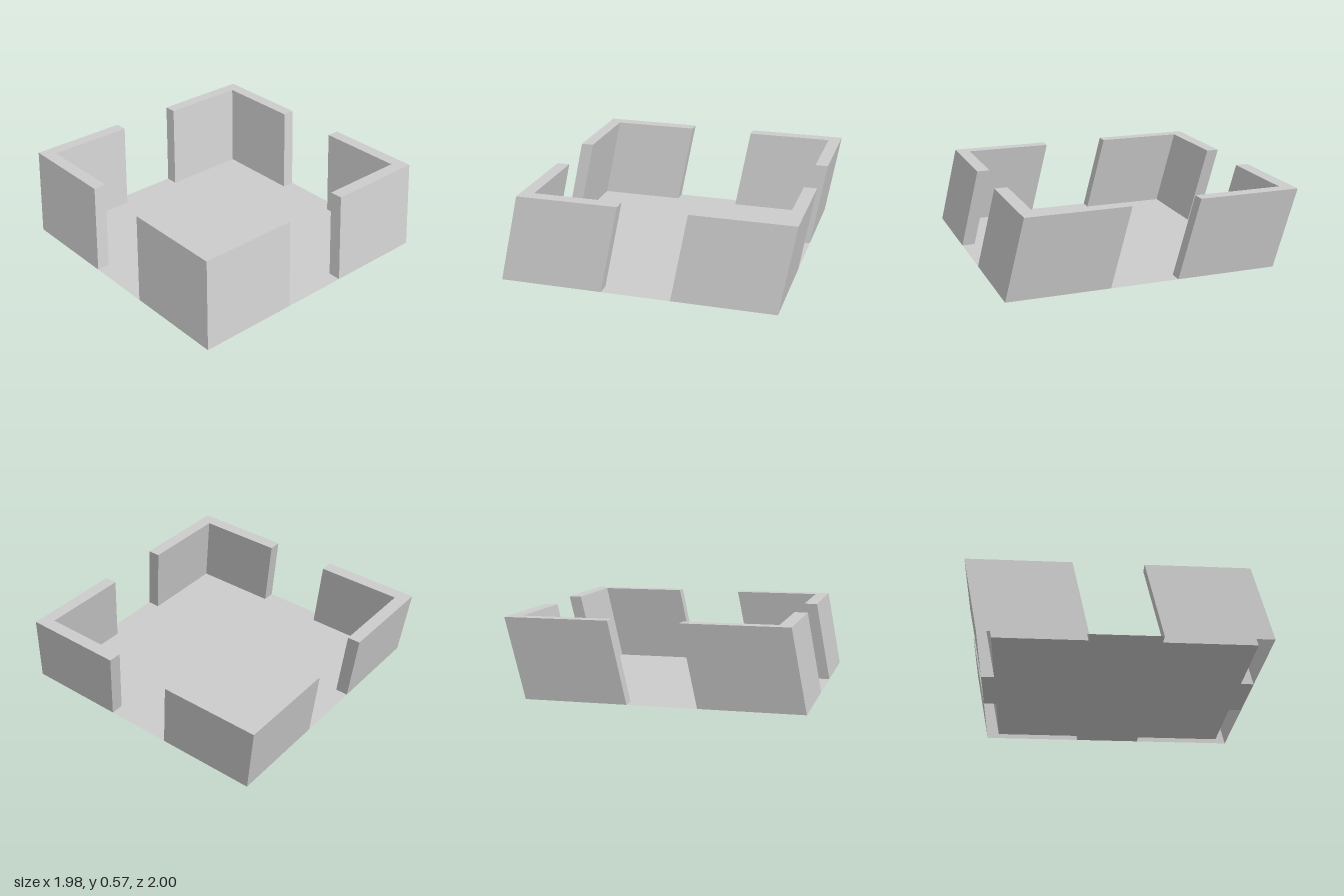
import * as THREE from 'three';

const EDGE = 0.945, GAP = 0.238, INNER = EDGE - 0.09, HEIGHT = 0.567;

// Everything leans: upper points slide towards +x and -z
function lean(geometry) {
  const p = geometry.attributes.position;
  for (let i = 0; i < p.count; i++) {
    const t = p.getY(i) / HEIGHT - 0.5;
    p.setX(i, p.getX(i) + 0.088 * t);
    p.setZ(i, p.getZ(i) - 0.11 * t);
  }
  geometry.computeVertexNormals();
  return geometry;
}

// Removes the bottom cap so the walls are hollow-ended underneath
function openBottom(geometry) {
  const p = geometry.attributes.position, kept = [];
  for (let i = 0; i < p.count; i += 3) {
    if (Math.max(p.getY(i), p.getY(i + 1), p.getY(i + 2)) < 1e-4) continue;
    for (let k = i; k < i + 3; k++) kept.push(p.getX(k), p.getY(k), p.getZ(k));
  }
  const open = new THREE.BufferGeometry();
  open.setAttribute('position', new THREE.Float32BufferAttribute(kept, 3));
  return open;
}

const toShape = (points) => new THREE.Shape(points.map(([x, y]) => new THREE.Vector2(x, y)));

export function createModel() {
  const group = new THREE.Group();
  const material = new THREE.MeshStandardMaterial({
    color: 0xcccccc, flatShading: true, side: THREE.DoubleSide,
  });
  const add = (geometry, name) => {
    const mesh = new THREE.Mesh(lean(geometry), material);
    mesh.name = name;
    group.add(mesh);
  };

  // Four L-shaped corner walls
  for (const [sx, sz, name] of [
    [1, 1, 'frontLeftWall'], [-1, 1, 'frontRightWall'],
    [1, -1, 'backLeftWall'], [-1, -1, 'backRightWall'],
  ]) {
    const outline = [
      [EDGE, GAP], [EDGE, EDGE], [GAP, EDGE], [GAP, INNER], [INNER, INNER], [INNER, GAP],
    ].map(([x, z]) => [x * sx, -z * sz]);
    const wall = new THREE.ExtrudeGeometry(toShape(outline), { depth: HEIGHT, bevelEnabled: false });
    add(openBottom(wall.rotateX(-Math.PI / 2)), name);
  }

  // Thin floor, notched around the walls and reaching the rim at the gaps
  const notch = [[EDGE, GAP], [INNER, GAP], [INNER, INNER], [GAP, INNER], [GAP, EDGE]];
  const rim = [];
  for (let q = 0; q < 4; q++) {
    const c = [1, 0, -1, 0][q], s = [0, 1, 0, -1][q];
    for (const [x, y] of notch) rim.push([x * c - y * s, x * s + y * c]);
  }
  add(new THREE.ShapeGeometry(toShape(rim)).rotateX(-Math.PI / 2), 'floor');

  return group;
}
